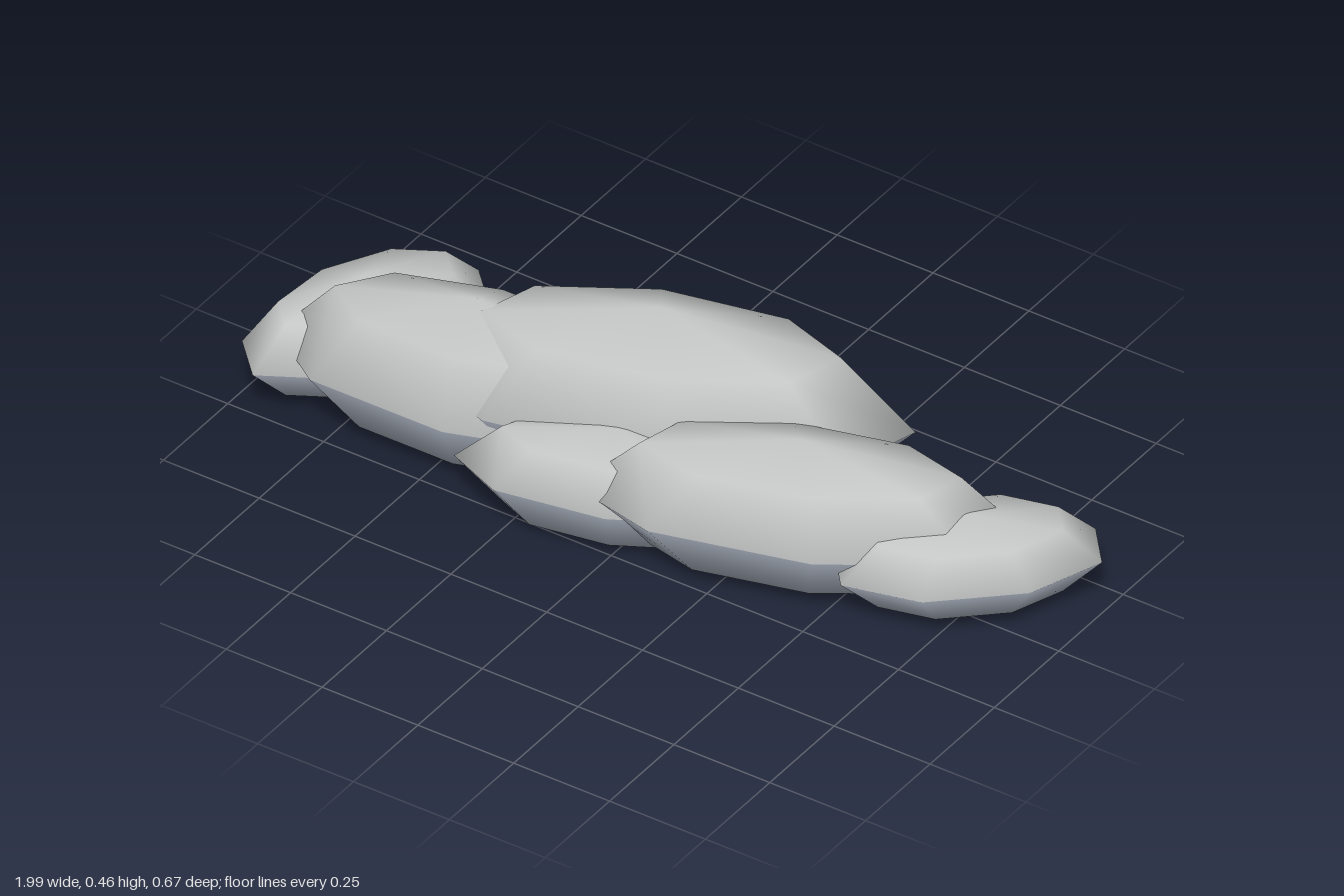
import * as THREE from 'three';

const upper = new THREE.MeshStandardMaterial({ color: 0xc4c6c6 });
upper.name = 'pale grey';
const lower = new THREE.MeshStandardMaterial({ color: 0x959ca8 });
lower.name = 'blue grey';

const SIDES = 8;

// Faceted puff with smooth normals: pole, ring, equator, ring, pole.
// a and b are the half axes [x, z] of the equator; y = [top, equator, lower ring, bottom].
function puff(name, [cx, cz], a, b, [top, mid, low, bottom]) {
  const pos = [cx, top, cz];
  const levels = [
    [mid + (top - mid) * Math.SQRT1_2, Math.SQRT1_2],
    [mid, 1],
    [low, Math.SQRT1_2],
  ];
  for (const [y, s] of levels) {
    for (let k = 0; k < SIDES; k++) {
      const t = (k / SIDES) * Math.PI * 2;
      const c = Math.cos(t) * s, n = Math.sin(t) * s;
      pos.push(cx + a[0] * c + b[0] * n, y, cz + a[1] * c + b[1] * n);
    }
  }
  pos.push(cx, bottom, cz);

  const at = (ring, k) => 1 + ring * SIDES + (k % SIDES);
  const last = 1 + 3 * SIDES;
  const upperFaces = [], lowerFaces = [];
  for (let k = 0; k < SIDES; k++) {
    upperFaces.push(0, at(0, k), at(0, k + 1));
    [upperFaces, lowerFaces].forEach((faces, r) => {
      faces.push(at(r, k), at(r + 1, k), at(r + 1, k + 1));
      faces.push(at(r, k), at(r + 1, k + 1), at(r, k + 1));
    });
    lowerFaces.push(at(2, k), last, at(2, k + 1));
  }

  const geo = new THREE.BufferGeometry();
  geo.setAttribute('position', new THREE.Float32BufferAttribute(pos, 3));
  geo.setIndex([...upperFaces, ...lowerFaces]);
  geo.addGroup(0, upperFaces.length, 0);
  geo.addGroup(upperFaces.length, lowerFaces.length, 1);
  geo.computeVertexNormals();
  const mesh = new THREE.Mesh(geo, [upper, lower]);
  mesh.name = name;
  return mesh;
}

export function createModel() {
  const group = new THREE.Group();
  group.name = 'cloud';
  group.add(
    // Large middle body
    puff('mainPuff', [-0.07, -0.05], [0.525, -0.205], [-0.13, -0.195], [0.455, 0.21, 0.045, 0.035]),
    // Shoulders either side of the body
    puff('rightPuff', [-0.465, 0.075], [-0.474, 0.08], [0.035, 0.19], [0.393, 0.165, 0.042, 0.03]),
    puff('leftPuff', [0.37, 0.065], [0.46, -0.2], [-0.13, -0.152], [0.35, 0.16, 0.04, 0.03]),
    // Small puff in front
    puff('frontPuff', [-0.045, 0.16], [-0.345, 0.12], [0.057, 0.132], [0.267, 0.128, 0.028, 0]),
    // Outer ends
    puff('rightEndPuff', [-0.815, -0.01], [-0.185, 0.205], [0.05, 0.215], [0.265, 0.135, 0.04, 0.028]),
    puff('leftEndPuff', [0.74, -0.035], [0.252, -0.145], [-0.01, -0.195], [0.24, 0.125, 0.044, 0.01]),
  );
  return group;
}
